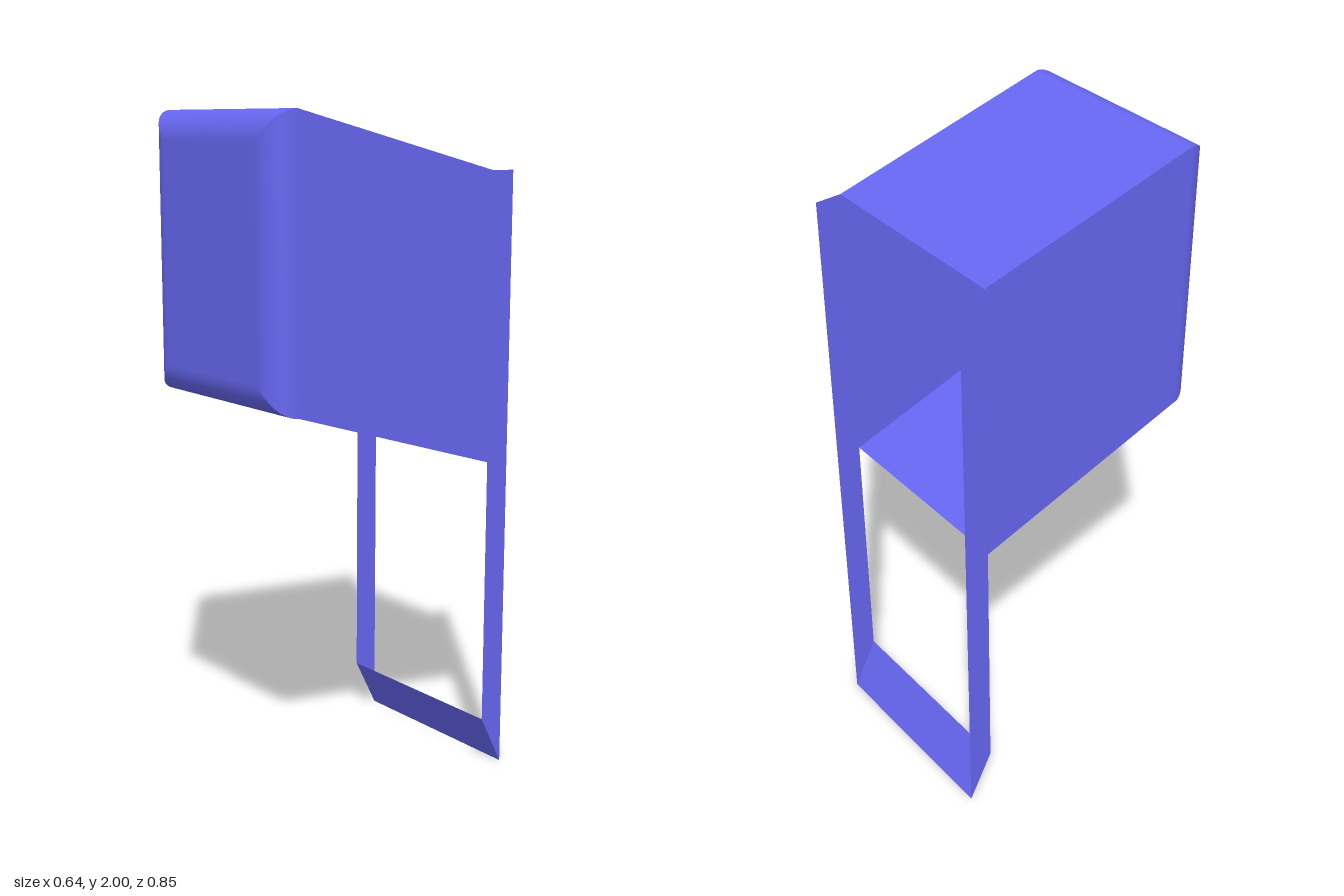
import * as THREE from 'three';

const W = 0.318;                                   // half width
const TOP = 2, BOTTOM = 1.18;                      // front end of the hood
const BACK_TOP = 1.83, BACK_BOTTOM = 0.97;         // rear end of the hood
const Z_FRONT = 0.345, Z_REAR = -0.345, Z_BACK = -0.423;
const INSET = 0.085, DEPTH = 0.078;                // rounded front edge

const material = new THREE.MeshStandardMaterial({ color: 0x6666f0, side: THREE.DoubleSide });

// Sheet through rows of two points each, smooth along the rows
function sheet(name, rows) {
  const index = [];
  for (let i = 0; i < rows.length - 1; i++) {
    const a = 2 * i;
    index.push(a, a + 1, a + 3, a, a + 3, a + 2);
  }
  const geo = new THREE.BufferGeometry();
  geo.setAttribute('position', new THREE.Float32BufferAttribute(rows.flat(2), 3));
  geo.setIndex(index);
  geo.computeVertexNormals();
  const mesh = new THREE.Mesh(geo, material);
  mesh.name = name;
  return mesh;
}

// Flat side: hood cheek and back flange in one outline
function sidePanel(name, side) {
  const outline = [
    [Z_FRONT, TOP], [Z_REAR, BACK_TOP], [Z_BACK, BACK_TOP], [Z_BACK, 0],
    [Z_REAR, 0.155], [Z_REAR, BACK_BOTTOM], [Z_FRONT, BOTTOM],
  ];
  const shape = new THREE.Shape(outline.map(([z, y]) => new THREE.Vector2(-side * z, y)));
  const geo = new THREE.ShapeGeometry(shape);
  geo.rotateY(side * Math.PI / 2).translate(side * W, 0, 0);
  const mesh = new THREE.Mesh(geo, material);
  mesh.name = name;
  return mesh;
}

// Corners of the front rectangle at an angle along the rounded edge
function corners(angle) {
  const d = INSET * (1 - Math.cos(angle));
  const z = Z_FRONT + DEPTH * Math.sin(angle);
  const x = W - d, t = TOP - d, b = BOTTOM + d;
  return [[x, t, z], [-x, t, z], [-x, b, z], [x, b, z]];
}

export function createModel() {
  const group = new THREE.Group();
  group.name = 'openHoodWithFrame';

  // Side panels
  group.add(sidePanel('leftPanel', 1), sidePanel('rightPanel', -1));

  // Sloping roof and floor of the hood
  group.add(sheet('roof', [
    [[W, BACK_TOP, Z_REAR], [-W, BACK_TOP, Z_REAR]],
    [[W, TOP, Z_FRONT], [-W, TOP, Z_FRONT]],
  ]));
  group.add(sheet('floor', [
    [[-W, BACK_BOTTOM, Z_REAR], [W, BACK_BOTTOM, Z_REAR]],
    [[-W, BOTTOM, Z_FRONT], [W, BOTTOM, Z_FRONT]],
  ]));

  // Rounded front edges, mitred at the corners
  const steps = 16;
  const loops = Array.from({ length: steps + 1 }, (_, i) => corners(i / steps * Math.PI / 2));
  ['topEdge', 'rightEdge', 'bottomEdge', 'leftEdge'].forEach((name, k) => {
    group.add(sheet(name, loops.map(c => [c[k], c[(k + 1) % 4]])));
  });

  // Flat front face
  const f = loops[steps];
  group.add(sheet('frontFace', [[f[0], f[1]], [f[3], f[2]]]));

  // Slanted sill closing the lower frame
  group.add(sheet('sill', [
    [[W, 0.155, Z_REAR], [-W, 0.155, Z_REAR]],
    [[W, 0, Z_BACK], [-W, 0, Z_BACK]],
  ]));

  return group;
}
